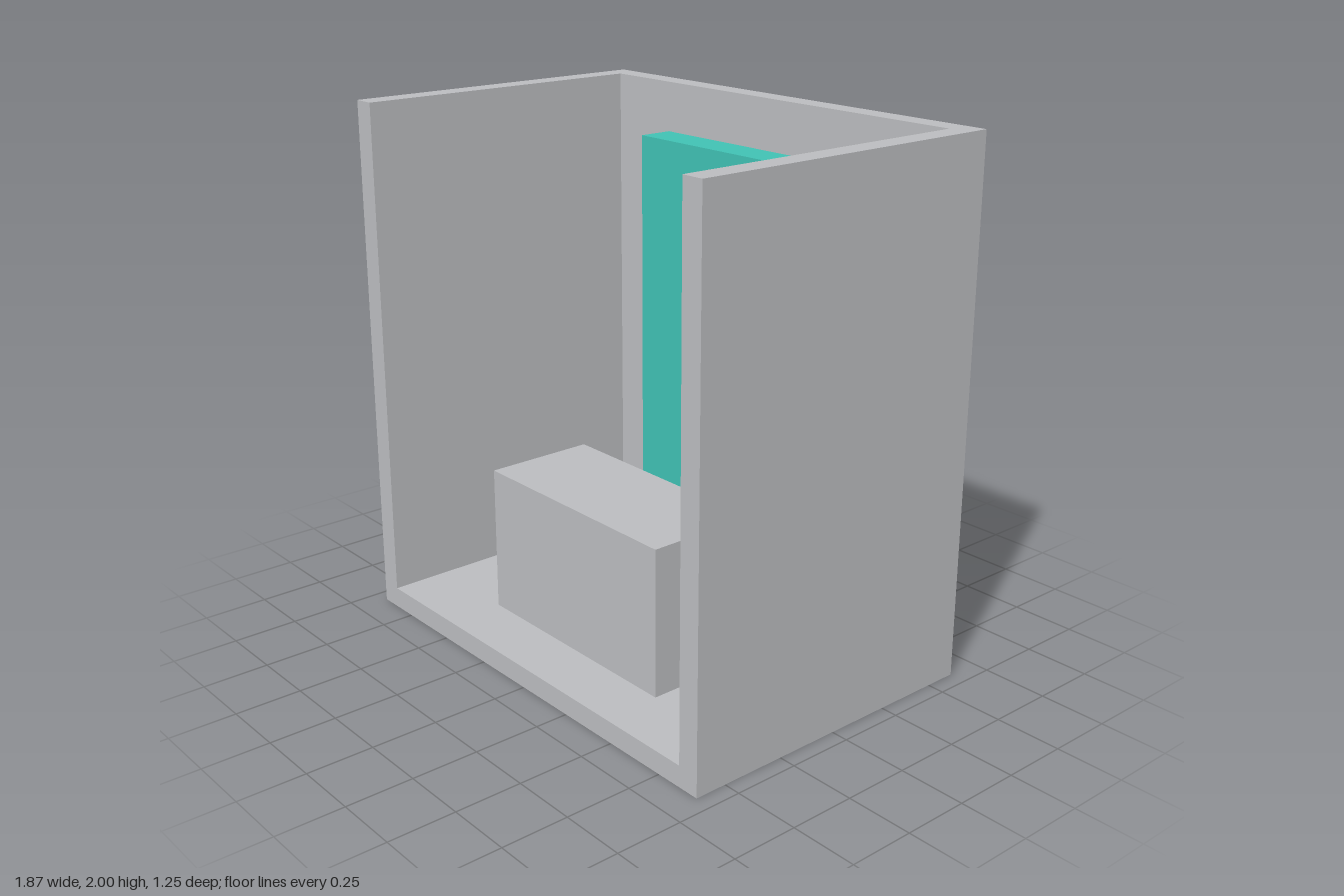
import * as THREE from 'three';

const grey = new THREE.MeshStandardMaterial({ color: 0xbbbcbf });
grey.name = 'light grey';
const teal = new THREE.MeshStandardMaterial({ color: 0x40c1b3 });
teal.name = 'teal';

// Box given by its limits on each axis
function box(name, material, [x0, x1], [y0, y1], [z0, z1]) {
  const mesh = new THREE.Mesh(new THREE.BoxGeometry(x1 - x0, y1 - y0, z1 - z0), material);
  mesh.position.set((x0 + x1) / 2, (y0 + y1) / 2, (z0 + z1) / 2);
  mesh.name = name;
  return mesh;
}

// Open-topped U-shaped walls, extruded upwards from the floor plan
function walls(w, d, t, y0, y1) {
  const plan = new THREE.Shape([
    [-w, -d], [-w + t, -d], [-w + t, d - t], [w - t, d - t],
    [w - t, -d], [w, -d], [w, d], [-w, d],
  ].map(([x, y]) => new THREE.Vector2(x, y)));
  const geometry = new THREE.ExtrudeGeometry(plan, { depth: y1 - y0, bevelEnabled: false });
  geometry.rotateX(-Math.PI / 2).translate(0, y0, 0);
  const mesh = new THREE.Mesh(geometry, grey);
  mesh.name = 'walls';
  return mesh;
}

export function createModel() {
  const model = new THREE.Group();
  model.name = 'booth';

  // Enclosure
  const W = 0.935, D = 0.623, T = 0.085, FLOOR = 0.08;
  model.add(box('floor', grey, [-W, W], [0, FLOOR], [-D, D]));
  model.add(walls(W, D, T, FLOOR, 2));

  // Bench in the middle of the floor
  model.add(box('bench', grey, [-0.47, 0.47], [FLOOR, 0.64], [-0.03, 0.4]));

  // Upright panel on a plinth, with a backing plate and side strips
  const panel = new THREE.Group();
  panel.name = 'uprightPanel';
  panel.add(box('plinth', grey, [-0.42, 0.42], [FLOOR, 0.38], [-0.507, -0.19]));
  panel.add(box('panel', teal, [-0.515, 0.515], [0.38, 1.815], [-0.507, -0.37]));
  panel.add(box('backPlate', grey, [-0.515, 0.515], [0.38, 1.81], [-0.517, -0.507]));
  for (const side of [-1, 1]) {
    const strip = box('sideStrip', teal, [0.515, 0.533], [0.66, 1.66], [-0.48, -0.42]);
    strip.position.x *= side;
    panel.add(strip);
  }
  model.add(panel);
  return model;
}
